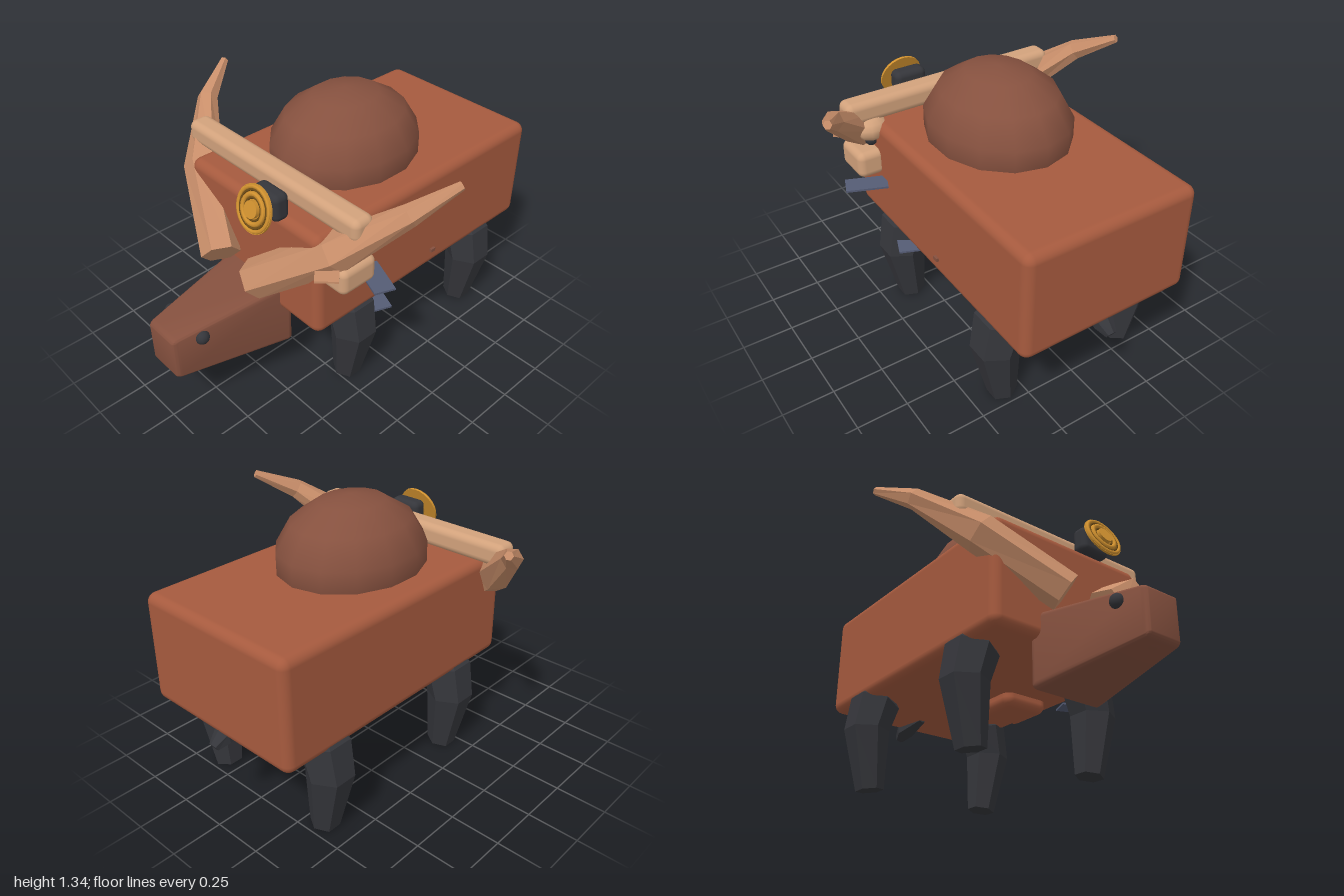
import * as THREE from 'three';
import { toCreasedNormals } from 'three/addons/utils/BufferGeometryUtils.js';
import { RoundedBoxGeometry } from 'three/addons/geometries/RoundedBoxGeometry.js';

const colours = {
  hide: 0xa65a3e, darkHide: 0x86513f, horn: 0xc88e6a, wood: 0xd2a27c,
  charcoal: 0x35363b, gold: 0xd2922f, darkGold: 0x6f4c16, steel: 0x555c75,
};

// Faceted tube through rings [x, y, z, radius], square to the path, closed at both ends.
function loft(rings, sides, ref) {
  const centres = rings.map(r => new THREE.Vector3(r[0], r[1], r[2]));
  const last = rings.length - 1;
  const points = rings.map((r, i) => {
    const t = centres[Math.min(i + 1, last)].clone().sub(centres[Math.max(i - 1, 0)]).normalize();
    const u = ref.clone().cross(t).normalize();
    const v = t.clone().cross(u);
    return Array.from({ length: sides }, (_, j) => {
      const a = j / sides * Math.PI * 2;
      return centres[i].clone().addScaledVector(u, Math.cos(a) * r[3]).addScaledVector(v, Math.sin(a) * r[3]);
    });
  });
  const tris = [];
  for (let j = 0; j < sides; j++) {
    const k = (j + 1) % sides;
    for (let i = 0; i < last; i++) {
      const [a, b, c, d] = [points[i][j], points[i][k], points[i + 1][j], points[i + 1][k]];
      tris.push(a, b, c, b, d, c);
    }
    tris.push(centres[0], points[0][k], points[0][j]);
    tris.push(centres[last], points[last][j], points[last][k]);
  }
  const geo = new THREE.BufferGeometry().setFromPoints(tris);
  geo.computeVertexNormals();
  return geo;
}

export function createModel() {
  const model = new THREE.Group();
  const mats = {};
  for (const [name, color] of Object.entries(colours)) {
    mats[name] = new THREE.MeshStandardMaterial({ color });
    mats[name].name = name;
  }
  const add = (name, geo, mat, pos = [0, 0, 0], parent = model) => {
    const mesh = new THREE.Mesh(geo, mats[mat]);
    mesh.name = name;
    mesh.position.set(...pos);
    parent.add(mesh);
    return mesh;
  };
  const ball = (name, mat, pos, size, w = 12, h = 8) => {
    const mesh = add(name, new THREE.SphereGeometry(1, w, h), mat, pos);
    mesh.scale.set(...size);
    return mesh;
  };
  const block = (w, h, d, r) => new RoundedBoxGeometry(w, h, d, 3, r);
  const X = new THREE.Vector3(1, 0, 0), Y = new THREE.Vector3(0, 1, 0);

  // Body, hump and belly pouch
  add('body', block(0.885, 0.54, 1.43, 0.045), 'hide', [0, 0.74, -0.242]);
  const humpGeo = new THREE.SphereGeometry(1, 14, 7).rotateY(Math.PI / 2).scale(0.335, 0.3, 0.39);
  add('hump', humpGeo, 'darkHide', [0, 1.045, -0.112]);
  add('bellyPouch', block(0.26, 0.14, 0.26, 0.045), 'hide', [0.22, 0.475, -0.24]);

  // Head: a rounded block tapering toward the snout
  const depth = 0.595;
  const headGeo = block(0.4, 0.365, depth, 0.03);
  const p = headGeo.attributes.position;
  for (let i = 0; i < p.count; i++) {
    const t = p.getZ(i) / depth + 0.5;
    p.setX(i, p.getX(i) * (1 - 0.53 * t));
    p.setY(i, p.getY(i) * (1 - 0.39 * t) + 0.005 * t);
  }
  add('head', toCreasedNormals(headGeo, 0.7), 'darkHide', [0, 0.423, 0.703]);
  ball('mouth', 'darkHide', [0, 0.325, 0.92], [0.06, 0.02, 0.05]);

  // Eyes, horns and legs on both sides
  for (const s of [1, -1]) {
    const side = s > 0 ? 'left' : 'right';
    ball(side + 'Eye', 'charcoal', [s * 0.12, 0.505, 0.863], [0.03, 0.034, 0.034]);
    add(side + 'Horn', loft([
      [s * 0.12, 0.67, 0.565, 0.093], [s * 0.46, 0.925, 0.39, 0.093],
      [s * 0.68, 1.13, 0.18, 0.05], [s * 0.78, 1.235, -0.01, 0.02],
    ], 6, Y), 'horn');
    for (const [end, z] of [['Front', 0.187], ['Back', -0.665]]) {
      add(side + end + 'Leg', loft([
        [s * 0.34, 0.52, z, 0.085], [s * 0.345, 0.465, z, 0.125],
        [s * 0.382, 0.31, z, 0.113], [s * 0.342, 0.008, z, 0.07],
      ], 6, X), 'charcoal');
    }
  }

  // Tail tuft
  add('tail', loft([
    [0, 0.48, -0.75, 0.02], [0, 0.46, -0.93, 0.05], [0, 0.425, -0.985, 0.025],
  ], 6, X), 'charcoal');

  // Yoke with lantern housing
  add('yoke', block(1.145, 0.112, 0.115, 0.035), 'wood', [0, 1.065, 0.322]);
  add('lanternHousing', block(0.168, 0.135, 0.085, 0.03), 'charcoal', [0.145, 1.062, 0.467]);

  // Round gold lamp, tilted upward
  const lamp = new THREE.Group();
  lamp.name = 'lamp';
  lamp.position.set(0.142, 1.06, 0.553);
  lamp.rotation.x = -0.31;
  model.add(lamp);
  const disc = (r, h) => new THREE.CylinderGeometry(r, r, h, 24).rotateX(Math.PI / 2);
  add('lampPlate', disc(0.11, 0.01), 'gold', [0, 0, 0], lamp);
  add('lampRim', new THREE.TorusGeometry(0.098, 0.01, 6, 24), 'gold', [0, 0, 0.004], lamp);
  add('lampOuterGroove', new THREE.TorusGeometry(0.084, 0.006, 6, 24), 'darkGold', [0, 0, 0.005], lamp);
  add('lampInnerRing', new THREE.TorusGeometry(0.066, 0.012, 6, 24), 'gold', [0, 0, 0.006], lamp);
  add('lampInnerGroove', new THREE.TorusGeometry(0.05, 0.006, 6, 24), 'darkGold', [0, 0, 0.006], lamp);
  add('lampKnob', disc(0.04, 0.03), 'gold', [0, 0, 0.008], lamp);

  // Gear hanging on the left flank
  ball('packKnob', 'wood', [0.45, 0.975, 0.285], [0.085, 0.06, 0.07], 10, 7);
  ball('packJoint', 'charcoal', [0.46, 0.92, 0.28], [0.032, 0.032, 0.032], 8, 6);
  add('pack', block(0.14, 0.135, 0.205, 0.035), 'wood', [0.485, 0.81, 0.325]);
  const plate = (name, mat, w, d, pos, yaw) => {
    add(name, new THREE.BoxGeometry(w, 0.01, d), mat, pos).rotation.y = yaw;
  };
  plate('woodPlate', 'horn', 0.103, 0.2, [0.467, 0.877, 0.437], Math.PI / 4);
  plate('upperBlade', 'steel', 0.2, 0.1, [0.535, 0.727, 0.21], -0.38);
  plate('lowerBlade', 'steel', 0.15, 0.1, [0.39, 0.403, 0.045], -0.38);
  add('peg', new THREE.BoxGeometry(0.02, 0.018, 0.028), 'darkHide', [0.445, 0.565, -0.283]);

  return model;
}
